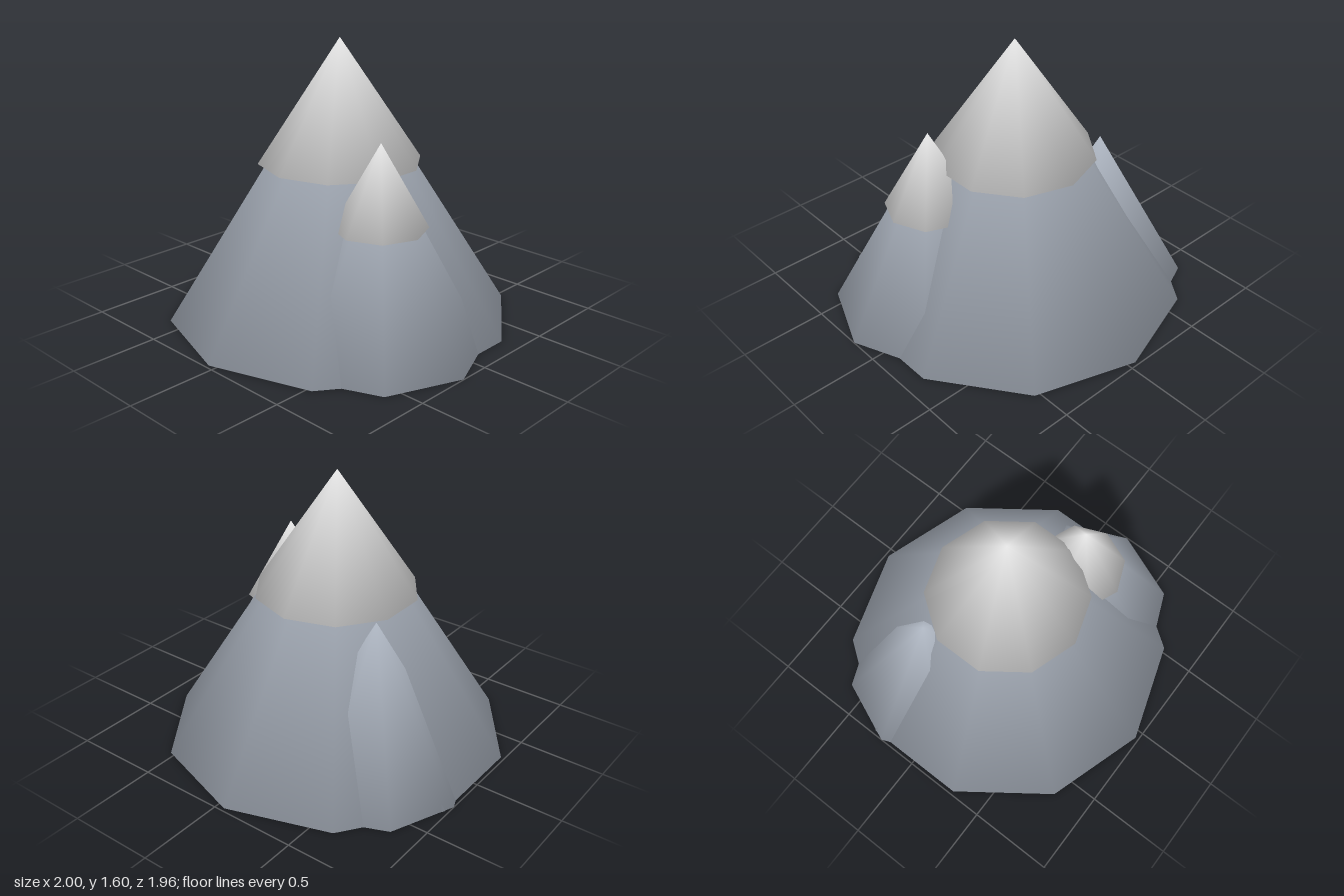
import * as THREE from 'three';

const rock = new THREE.MeshStandardMaterial({ color: 0xb0b8c4 });
rock.name = 'blue grey rock';
const snow = new THREE.MeshStandardMaterial({ color: 0xe8e8e8 });
snow.name = 'snow';

// Cone standing on y = 0, its shading blended smoothly over the base rim
function softCone(radius, height, sides) {
  const geo = new THREE.ConeGeometry(radius, height, sides).translate(0, height / 2, 0);
  const half = Math.PI / sides;
  const inner = radius * Math.cos(half);
  const slant = Math.hypot(inner, height);

  // Rim normal: side and base normals weighted by their corner angles
  const sideAngle = 2 * Math.atan(slant / (radius * Math.sin(half)));
  const baseAngle = Math.PI - 2 * half;
  const out = sideAngle * (height / slant) * Math.cos(half);
  const up = sideAngle * (inner / slant) - baseAngle;

  const pos = geo.attributes.position;
  const n = new THREE.Vector3();
  for (let i = 0; i < pos.count; i++) {
    const x = pos.getX(i), z = pos.getZ(i);
    if (pos.getY(i) > height / 2) n.set(0, 1, 0);
    else if (Math.hypot(x, z) < radius / 2) n.set(0, -1, 0);
    else n.set((x / radius) * out, up, (z / radius) * out).normalize();
    geo.attributes.normal.setXYZ(i, n.x, n.y, n.z);
  }
  return geo;
}

export function createModel() {
  const group = new THREE.Group();
  group.name = 'mountain';

  const addCone = (name, material, radius, height, sides, x, y, z) => {
    const mesh = new THREE.Mesh(softCone(radius, height, sides), material);
    mesh.name = name;
    mesh.position.set(x, y, z);
    group.add(mesh);
  };

  // Main peak and its snow cap
  addCone('mainPeak', rock, 0.98, 1.56, 10, -0.046, 0, 0);
  addCone('mainSnowCap', snow, 0.46, 0.69, 10, -0.046, 0.905, 0);

  // Side peak at the front left, with snow
  addCone('sidePeak', rock, 0.58, 1.09, 8, 0.418, 0, 0.175);
  addCone('sideSnowCap', snow, 0.258, 0.46, 8, 0.418, 0.67, 0.175);

  // Bare low peak at the back right
  addCone('lowPeak', rock, 0.52, 0.93, 8, -0.48, 0, -0.24);

  return group;
}
